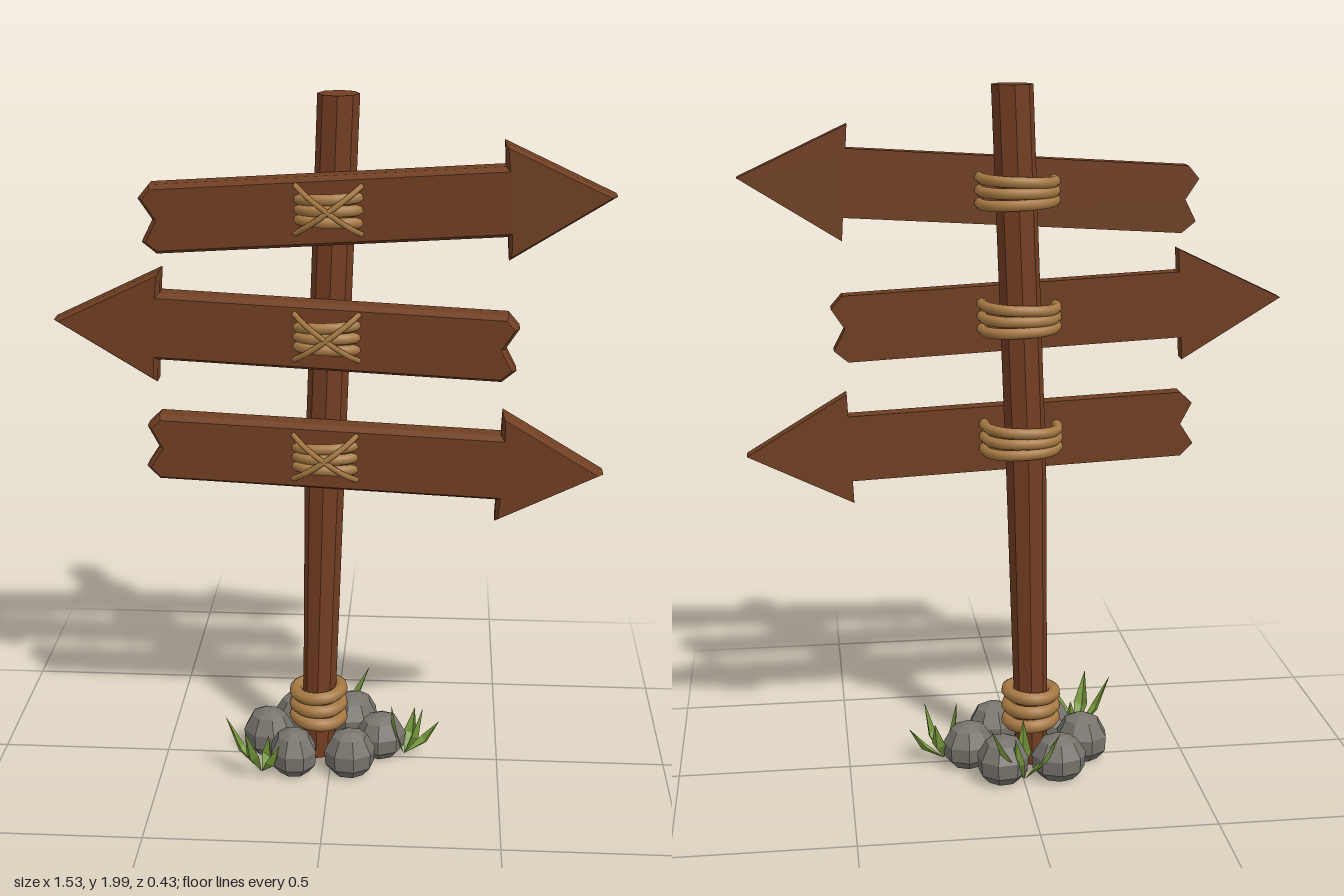
import * as THREE from 'three';

const mat = (name, color, extra = {}) => {
  const m = new THREE.MeshStandardMaterial({ color, ...extra });
  m.name = name;
  return m;
};

export function createModel() {
  const root = new THREE.Group();
  root.name = 'signpost';
  const postWood = mat('post wood', 0x733d22, { flatShading: true });
  const boardWood = mat('board wood', 0x6f3e22, { flatShading: true });
  const ropeMat = mat('rope', 0xa87a44);
  const stone = mat('stone', 0x77736c, { flatShading: true });
  const grass = mat('grass', 0x789a3c, { flatShading: true, side: THREE.DoubleSide });

  const add = (name, geo, material, parent = root) => {
    const mesh = new THREE.Mesh(geo, material);
    mesh.name = name;
    parent.add(mesh);
    return mesh;
  };

  // Crooked post: three octagonal rings with a twist in the lower half
  const rings = [
    { y: 0.01, x: -0.042, z: -0.018, r: 0.047, turn: 0.7 },
    { y: 0.92, x: -0.022, z: -0.035, r: 0.058, turn: 0 },
    { y: 2.0, x: 0.017, z: -0.032, r: 0.058, turn: 0 },
  ];
  const post = new THREE.CylinderGeometry(1, 1, 2, 8, 2);
  const pp = post.attributes.position;
  for (let i = 0; i < pp.count; i++) {
    const g = rings[Math.round(pp.getY(i) + 1)];
    const x = pp.getX(i), z = pp.getZ(i);
    const c = Math.cos(g.turn) * g.r, s = Math.sin(g.turn) * g.r;
    pp.setXYZ(i, g.x + x * c + z * s, g.y, g.z - x * s + z * c);
  }
  post.computeVertexNormals();
  add('post', post, postWood);

  // Arrow board outline, pointing to +dir, notched at the other end
  const outline = [
    [0.475, -0.095], [0.475, -0.16], [0.768, 0], [0.475, 0.16], [0.475, 0.095],
    [-0.485, 0.095], [-0.518, 0.06], [-0.483, 0], [-0.518, -0.06], [-0.48, -0.095],
  ];
  const arrowGeometry = (dir) => {
    const pts = outline.map(([x, y]) => new THREE.Vector2(x * dir, y));
    const geo = new THREE.ExtrudeGeometry(new THREE.Shape(pts), {
      depth: 0.05, bevelEnabled: true, bevelSegments: 1,
      bevelThickness: 0.02, bevelSize: 0.011, bevelOffset: -0.011,
    });
    // Keep the bevel on the front only
    const p = geo.attributes.position;
    for (let i = 0; i < p.count; i++) p.setZ(i, Math.max(0, p.getZ(i)));
    geo.computeVertexNormals();
    return geo;
  };

  // Flattened loop of rope around post and board
  const loop = (rx, rz, power, y, tilt, tube) => {
    const pts = [];
    for (let i = 0; i < 24; i++) {
      const a = (i / 24) * Math.PI * 2, c = Math.cos(a), s = Math.sin(a);
      const bend = (v) => Math.sign(v) * Math.abs(v) ** power;
      pts.push(new THREE.Vector3(rx * bend(c), y + tilt * c, rz * bend(s)));
    }
    return new THREE.TubeGeometry(new THREE.CatmullRomCurve3(pts, true), 48, tube, 7, true);
  };

  const signs = [
    { name: 'top', y: 1.702, dir: 1, tilt: 0.062, x: 0.0 },
    { name: 'middle', y: 1.348, dir: -1, tilt: -0.05, x: -0.005 },
    { name: 'bottom', y: 0.998, dir: 1, tilt: -0.045, x: -0.01 },
  ];
  for (const s of signs) {
    const board = add(s.name + 'Board', arrowGeometry(s.dir), boardWood);
    board.position.set(0, s.y, 0.026);
    board.rotation.z = s.tilt;

    // Lashing: three loops and a crossed pair of strands on the front
    const lashing = new THREE.Group();
    lashing.name = s.name + 'Lashing';
    lashing.position.set(s.x - 0.003, s.y + 0.006, 0.014);
    root.add(lashing);
    [-0.031, 0, 0.031].forEach((y, i) =>
      add('ropeLoop', loop(0.105, 0.104, 0.85, y, (i - 1) * 0.005, 0.0155), ropeMat, lashing));
    for (const m of [-1, 1]) {
      const curve = new THREE.CatmullRomCurve3([
        [-0.09, 0.066, 0.08], [-0.055, 0.04, 0.112], [0, 0, 0.124],
        [0.055, -0.04, 0.112], [0.09, -0.066, 0.08],
      ].map(([x, y, z]) => new THREE.Vector3(x, y * m, z)));
      add('crossStrand', new THREE.TubeGeometry(curve, 16, 0.008, 6), ropeMat, lashing);
    }
  }

  // Rope coiled round the foot
  [0.14, 0.183, 0.226].forEach((y, i) => {
    const ring = add('footRope', loop(0.068, 0.068, 1, 0, (i - 1) * 0.004, 0.02), ropeMat);
    ring.position.set(-0.04, y, -0.01);
  });

  // Faceted stones round the foot
  const profile = [[0, 0.008], [0.05, 0.012], [0.074, 0.04], [0.077, 0.085], [0.052, 0.13], [0.02, 0.145], [0, 0.146]]
    .map(([x, y]) => new THREE.Vector2(x, y));
  const spots = [
    [-0.105, -0.142, 1.0], [0.06, -0.142, 1.02], [-0.192, -0.02, 0.98],
    [0.148, -0.022, 0.98], [-0.108, 0.1, 0.95], [0.06, 0.1, 0.95],
  ];
  spots.forEach(([x, z, size], i) => {
    const rock = add('stone', new THREE.LatheGeometry(profile, 8), stone);
    rock.position.set(x, 0, z);
    rock.rotation.y = i * 1.3;
    rock.scale.set(size * 1.04, 0.95 + (i % 3) * 0.03, size * 0.96);
  });

  // Folded grass blades: a base, a creased middle and a tip
  const blade = (base, tip) => {
    const b = new THREE.Vector3(...base), t = new THREE.Vector3(...tip);
    const out = new THREE.Vector3(t.x - b.x, 0, t.z - b.z).normalize();
    const side = new THREE.Vector3(-out.z, 0, out.x).multiplyScalar(0.022);
    const mid = b.clone().lerp(t, 0.45).addScaledVector(out, 0.008);
    const l = mid.clone().add(side), r = mid.clone().sub(side);
    mid.addScaledVector(out, 0.012).y -= 0.012;
    const geo = new THREE.BufferGeometry().setFromPoints([b, l, mid, b, mid, r, l, t, mid, mid, t, r]);
    geo.computeVertexNormals();
    return geo;
  };
  const clumps = [
    { base: [-0.2, 0.02, 0.135], tips: [[-0.305, 0.2, 0.135], [-0.24, 0.19, 0.21], [-0.14, 0.145, 0.2], [-0.18, 0.13, 0.115]] },
    { base: [0.22, 0.02, 0.0], tips: [[0.325, 0.125, -0.015], [0.275, 0.19, 0.025], [0.18, 0.19, 0.01], [0.25, 0.15, -0.05]] },
    { base: [0.0, 0.02, -0.175], tips: [[0.105, 0.2, -0.215], [0.03, 0.16, -0.205], [-0.1, 0.17, -0.205], [0.0, 0.19, -0.14]] },
  ];
  for (const c of clumps) {
    const tuft = new THREE.Group();
    tuft.name = 'grassTuft';
    root.add(tuft);
    for (const tip of c.tips) add('blade', blade(c.base, tip), grass, tuft);
  }

  return root;
}
